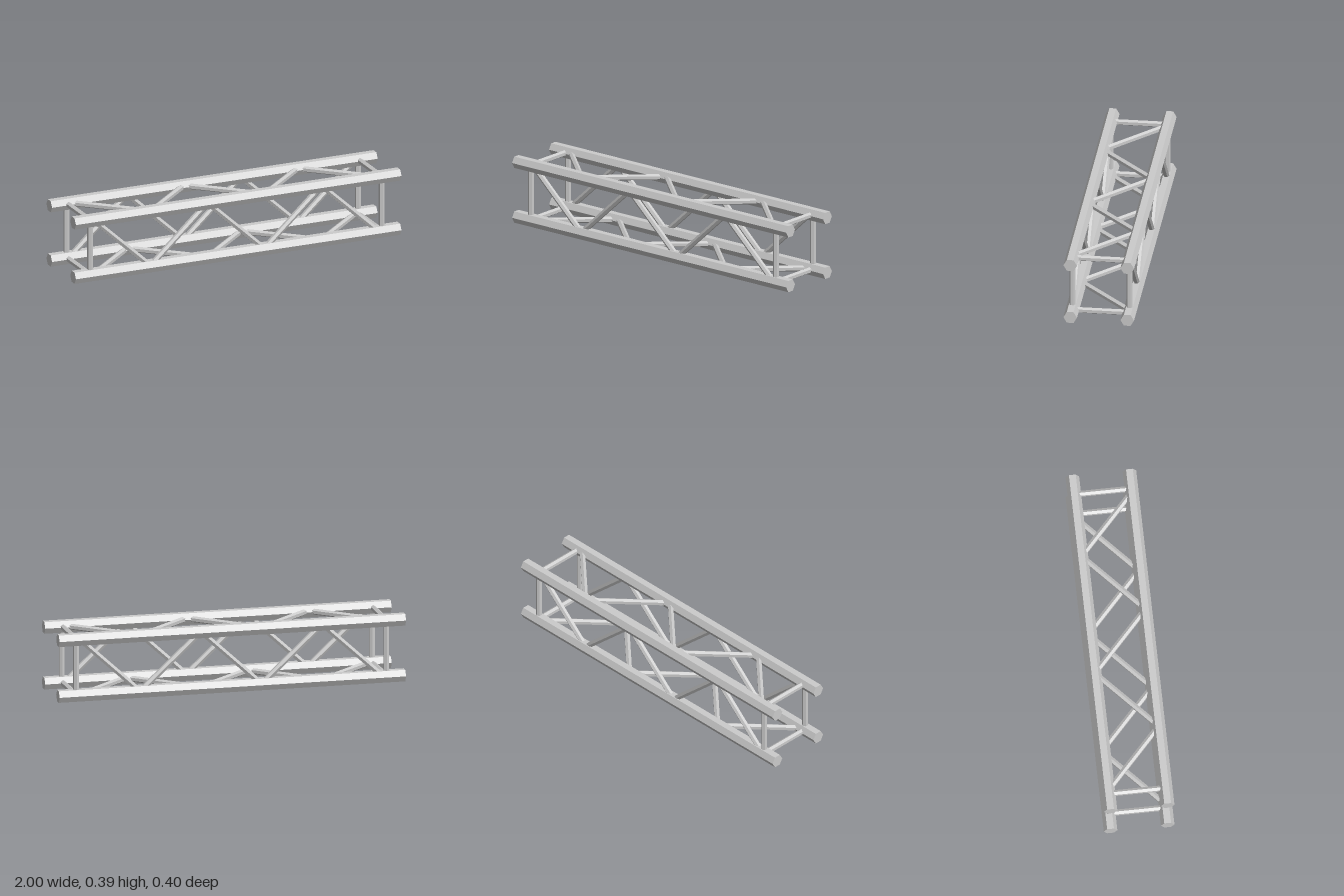
import * as THREE from 'three';

const material = new THREE.MeshStandardMaterial({ color: 0xcccccc, flatShading: true });

const CHORD_R = 0.0383, STRUT_R = 0.017;
const HALF = 0.1605;                     // half spacing between chord centres
const MID_Y = CHORD_R * Math.cos(Math.PI / 6) + HALF;
const POST_X = 0.895, NODE_X = 0.875, BAYS = 5, SEAM_X = 0.935;

// Hexagonal bar from a to b, with one corner edge facing the given normal
function bar(name, a, b, radius, normal) {
  const dir = b.clone().sub(a);
  const mesh = new THREE.Mesh(new THREE.CylinderGeometry(radius, radius, dir.length(), 6), material);
  const y = dir.normalize();
  const x = new THREE.Vector3().crossVectors(y, normal).normalize();
  const z = new THREE.Vector3().crossVectors(x, y);
  mesh.quaternion.setFromRotationMatrix(new THREE.Matrix4().makeBasis(x, y, z));
  mesh.position.copy(a).add(b).multiplyScalar(0.5);
  mesh.name = name;
  return mesh;
}

// One braced side in the z = HALF plane: two end posts and a zigzag of diagonals
function bracedSide(name, startSign) {
  const side = new THREE.Group();
  side.name = name;
  const normal = new THREE.Vector3(0, 0, 1);
  const at = (x, s) => new THREE.Vector3(x, s * HALF, HALF);
  for (const x of [-POST_X, POST_X]) {
    side.add(bar('endPost', at(x, -1), at(x, 1), STRUT_R, normal));
  }
  const step = (2 * NODE_X) / BAYS;
  for (let i = 0; i < BAYS; i++) {
    const s = i % 2 ? -startSign : startSign;
    const x = -NODE_X + i * step;
    side.add(bar('diagonalBrace', at(x, s), at(x + step, -s), STRUT_R, normal));
  }
  return side;
}

export function createModel() {
  const truss = new THREE.Group();
  truss.name = 'boxTruss';

  // Four main chords, each with a short end sleeve at both ends
  const zAxis = new THREE.Vector3(0, 0, 1);
  for (const sy of [-1, 1]) for (const sz of [-1, 1]) {
    const at = (x) => new THREE.Vector3(x, MID_Y + sy * HALF, sz * HALF);
    truss.add(bar('mainChord', at(-SEAM_X), at(SEAM_X), CHORD_R, zAxis));
    truss.add(bar('endSleeve', at(-1), at(-SEAM_X), CHORD_R, zAxis));
    truss.add(bar('endSleeve', at(SEAM_X), at(1), CHORD_R, zAxis));
  }

  // Four braced sides turned about the long axis; opposite zigzags cross each other
  ['front', 'bottom', 'back', 'top'].forEach((label, i) => {
    const side = bracedSide(label + 'Bracing', 1);
    side.rotation.x = i * Math.PI / 2;
    side.position.y = MID_Y;
    truss.add(side);
  });
  return truss;
}
